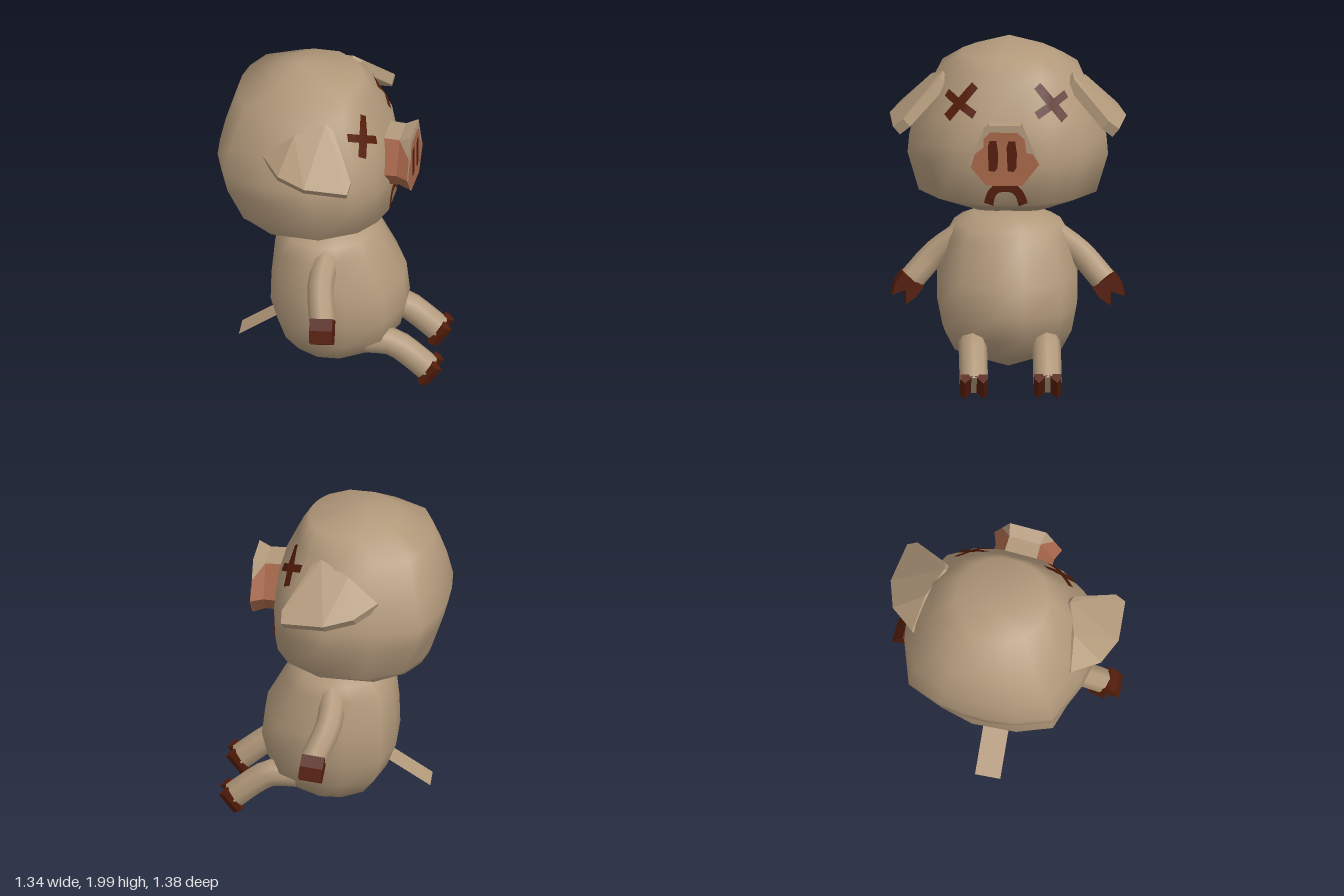
import * as THREE from 'three';
import { ConvexGeometry } from 'three/addons/geometries/ConvexGeometry.js';

const V = (x, y, z) => new THREE.Vector3(x, y, z);
const material = (name, color) =>
  Object.assign(new THREE.MeshStandardMaterial({ color, side: THREE.DoubleSide }), { name });

// Closed smooth shell from rings [y, backX, frontX, halfZ, roundness] between two poles [x, y];
// plan is half of the ring's outline, front to back, in units of the ring's size
function shell(bottom, rings, top, plan) {
  const outline = [...plan, ...plan.map(([u, w]) => [u, -w]).reverse()], n = outline.length;
  const pos = [bottom[0], bottom[1], 0], idx = [];
  for (const [y, back, front, half, round = 0] of rings)
    for (const [u, w] of outline) {
      const s = 1 + round * (1 / Math.hypot(u, w) - 1);
      pos.push((back + front) / 2 + s * u * (front - back) / 2, y, s * w * half);
    }
  pos.push(top[0], top[1], 0);
  const last = rings.length * n + 1, at = (i, j) => 1 + i * n + (j % n);
  for (let j = 0; j < n; j++) {
    idx.push(0, at(0, j), at(0, j + 1), last, at(rings.length - 1, j + 1), at(rings.length - 1, j));
    for (let i = 0; i < rings.length - 1; i++)
      idx.push(at(i, j), at(i + 1, j), at(i, j + 1), at(i, j + 1), at(i + 1, j), at(i + 1, j + 1));
  }
  return surface(pos, idx);
}

function surface(pos, idx) {
  const g = new THREE.BufferGeometry();
  g.setAttribute('position', new THREE.Float32BufferAttribute(pos, 3));
  if (idx) g.setIndex(idx);
  g.computeVertexNormals();
  return g;
}

const triangles = pts => surface(pts.flatMap(p => p.toArray()));

// Flat plate facing +x from clockwise [z, y] points
function plate(points, x) {
  const c = points.reduce((s, p) => [s[0] + p[0] / points.length, s[1] + p[1] / points.length], [0, 0]);
  return triangles(points.flatMap((p, i) => {
    const q = points[(i + 1) % points.length];
    return [V(x, c[1], c[0]), V(x, q[1], q[0]), V(x, p[1], p[0])];
  }));
}

// Painted stroke along [z, y] points, laid onto the front of a mesh
function stroke(target, points, width) {
  const ray = new THREE.Raycaster(), pos = [], idx = [], steps = 16;
  const path = new THREE.CatmullRomCurve3(points.map(([z, y]) => V(0, y, z)));
  for (let i = 0; i <= steps; i++) {
    const p = path.getPointAt(i / steps), t = path.getTangentAt(i / steps);
    for (let k = 0; k < 3; k++) {
      const o = (k - 1) * width / 2;
      ray.set(V(3, p.y + t.z * o, p.z - t.y * o), V(-1, 0, 0));
      const hit = ray.intersectObject(target)[0];
      pos.push(...hit.point.addScaledVector(hit.face.normal, 0.007).toArray());
      if (i < steps && k < 2) {
        const a = i * 3 + k;
        idx.push(a, a + 1, a + 3, a + 1, a + 4, a + 3);
      }
    }
  }
  return surface(pos, idx);
}

export function createModel() {
  const skin = material('skin', 0xb2997b);
  const pink = material('snout pink', 0xa7674a);
  const brown = material('hoof brown', 0x541d0a);
  const model = new THREE.Group();
  model.name = 'pig';
  const add = (parent, name, geometry, mat) => {
    const mesh = new THREE.Mesh(geometry, mat);
    mesh.name = name;
    parent.add(mesh);
    return mesh;
  };

  // Body
  add(model, 'body', shell([0.08, 0.08], [
    [0.18, -0.235, 0.28, 0.32, 0.6], [0.3, -0.3, 0.4, 0.38], [0.45, -0.355, 0.435, 0.41],
    [0.63, -0.35, 0.415, 0.41], [0.85, -0.33, 0.3, 0.35], [0.93, -0.26, 0.245, 0.31],
    [0.98, -0.18, 0.18, 0.2]], [0.05, 1.01],
    [[1, 0.2], [0.76, 0.74], [0.2, 0.97], [-0.3, 1], [-0.83, 0.82], [-1, 0.32]]), skin);

  // Head, turned slightly to one side
  const head = new THREE.Group();
  head.name = 'head';
  head.rotation.y = -0.075;
  model.add(head);
  const skull = add(head, 'skull', shell([-0.14, 0.965], [
    [0.985, -0.27, 0, 0.24, 1], [1.06, -0.55, 0.2, 0.44, 1], [1.12, -0.57, 0.355, 0.53, 0.6],
    [1.34, -0.64, 0.355, 0.585], [1.45, -0.665, 0.345, 0.575], [1.6, -0.63, 0.32, 0.535],
    [1.83, -0.56, 0.22, 0.42, 0.5], [1.93, -0.36, 0.165, 0.28, 1]], [-0.2, 2],
    [[1, 0.22], [0.93, 0.5], [0.75, 0.77], [0.28, 1], [-0.28, 0.92], [-0.8, 0.75], [-0.96, 0.4], [-1, 0.12]]), skin);

  // Ears: thin flaps hanging outwards
  const flap = [[0.03, 1.84, 0.38], [-0.14, 1.78, 0.45], [-0.32, 1.635, 0.48], [-0.2, 1.6, 0.63],
    [-0.03, 1.57, 0.69], [0.22, 1.55, 0.66], [0.23, 1.6, 0.6], [0.08, 1.81, 0.39]];
  for (const s of [-1, 1])
    add(head, s < 0 ? 'leftEar' : 'rightEar', new ConvexGeometry(flap.flatMap(([x, y, z]) =>
      [V(x, y, z * s), V(x - 0.01, y - 0.05, (z - 0.04) * s)])), skin);

  // Snout: flared six-sided tube with a skin-coloured top and upper corners
  const hex = [[0.11, 1.63], [-0.11, 1.63], [-0.205, 1.4], [-0.105, 1.27], [0.105, 1.27], [0.205, 1.4]];
  const rim = [[0.3, 0.88], [0.41, 0.86], [0.48, 1]];
  const corner = (i, k) => {
    const [z, y] = hex[i % 6], [x, s] = rim[k];
    return V(x, 1.43 + (y - 1.43) * s, z * s);
  };
  const plain = [], tinted = [];
  for (let i = 0; i < 6; i++)
    for (let k = 0; k < 2; k++) {
      const a = corner(i, k), b = corner(i + 1, k), c = corner(i, k + 1), d = corner(i + 1, k + 1);
      const m = c.clone().lerp(d, 0.5), front = k === 1;
      (i === 0 || (front && i === 1) ? plain : tinted).push(a, c, m);
      (i === 0 ? plain : tinted).push(a, m, b);
      (i === 0 || (front && i === 5) ? plain : tinted).push(b, m, d);
    }
  add(head, 'snoutTop', triangles(plain), skin);
  add(head, 'snoutSides', triangles(tinted), pink);
  add(head, 'snoutFace', plate(hex, 0.48), skin);
  add(head, 'snoutPad', plate([[0.08, 1.59], [-0.075, 1.59], [-0.12, 1.55], [-0.13, 1.47], [-0.17, 1.46],
    [-0.205, 1.4], [-0.105, 1.27], [0.105, 1.27], [0.195, 1.38], [0.17, 1.46], [0.12, 1.5], [0.12, 1.55]],
    0.484), pink);
  for (const z of [-0.045, 0.065])
    add(head, 'nostril', plate([[z + 0.02, 1.54], [z - 0.02, 1.54], [z - 0.03, 1.47], [z - 0.028, 1.38],
      [z - 0.01, 1.355], [z + 0.024, 1.36], [z + 0.03, 1.5]], 0.488), brown);

  // Crossed eyes and frowning mouth
  for (const s of [-1, 1])
    for (const [a, b] of [[[0.18, 1.8], [0.34, 1.61]], [[0.345, 1.74], [0.18, 1.64]]])
      add(head, s < 0 ? 'leftEye' : 'rightEye',
        stroke(skull, [[a[0] * s, a[1]], [b[0] * s, b[1]]], 0.046), brown);
  add(head, 'mouth', stroke(skull, [[0.095, 1.125], [0.08, 1.185], [0.045, 1.22], [-0.05, 1.22],
    [-0.085, 1.185], [-0.105, 1.125]], 0.053), brown);

  // Limbs: bent tubes ending in cloven hooves
  function limb(name, path, radius, dir, across, length, notch) {
    const g = new THREE.Group();
    g.name = name;
    model.add(g);
    add(g, name + 'Tube', new THREE.TubeGeometry(new THREE.CatmullRomCurve3(path), 6, radius, 8), skin);
    const w = radius * 0.96, t = radius * 1.75;
    const outline = [[-w, 0], [w, 0], [w, length * 0.5], [w * 0.68, length], [0, notch],
      [-w * 0.68, length], [-w, length * 0.5]];
    const geo = new THREE.ExtrudeGeometry(new THREE.Shape(outline.map(p => new THREE.Vector2(...p))),
      { depth: t, bevelEnabled: false }).translate(0, 0, -t / 2);
    const hoof = add(g, name + 'Hoof', geo, brown);
    const up = dir.normalize(), side = across.normalize();
    hoof.quaternion.setFromRotationMatrix(new THREE.Matrix4().makeBasis(side, up, side.clone().cross(up)));
    hoof.position.copy(path[path.length - 1]).addScaledVector(up, -0.01);
    return { hoof, depth: t };
  }
  for (const s of [-1, 1]) {
    const label = s < 0 ? 'left' : 'right', reach = s < 0 ? 0.075 : 0;
    limb(label + 'Arm', [V(0, 0.87, 0.25 * s), V(-0.02 + reach * 0.4, 0.74, 0.42 * s),
      V(0.01 + reach, 0.59, 0.56 * s)], 0.077, V(0.05 + reach, -0.81, 0.58 * s), V(0, 0.58, 0.81 * s), 0.145, 0.075);
    const leg = limb(label + 'Leg', [V(0.22, 0.27, 0.215 * s), V(0.37, 0.265, 0.215 * s),
      V(0.47, 0.2, 0.215 * s), V(0.58, 0.105, 0.215 * s)], 0.083, V(0.8, -0.6, 0), V(0, 0, 1), 0.068, 0.004);
    // Skin showing between the toes
    add(leg.hoof, label + 'LegCleft',
      new THREE.BoxGeometry(0.04, 0.02, leg.depth * 0.98).translate(0, 0.013, 0), skin);
  }

  // Tail: a flat strip
  const [a, b, c, d] = [V(-0.26, 0.34, -0.075), V(-0.26, 0.34, 0.075), V(-0.55, 0.145, 0.075), V(-0.55, 0.145, -0.075)];
  add(model, 'tail', triangles([a, c, b, a, d, c]), skin);
  return model;
}
